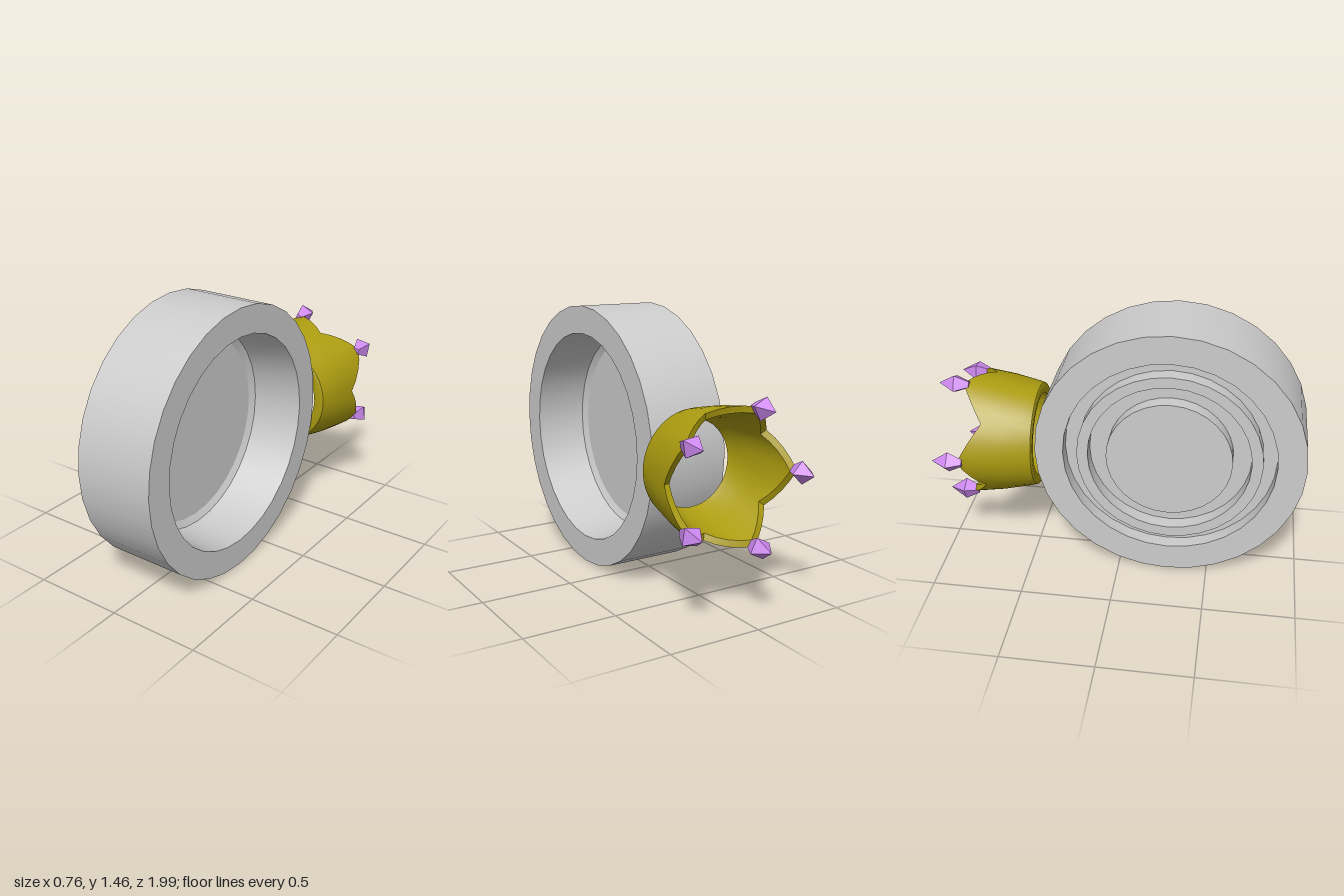
import * as THREE from 'three';
import { toCreasedNormals } from 'three/addons/utils/BufferGeometryUtils.js';

const grey = new THREE.MeshStandardMaterial({ color: 0xcccccc });
const gold = new THREE.MeshStandardMaterial({ color: 0xac9c10 });
const violet = new THREE.MeshStandardMaterial({ color: 0xcc88ee, flatShading: true });

function mesh(name, geometry, material) {
  const m = new THREE.Mesh(geometry, material);
  m.name = name;
  return m;
}

function lathe(points, segments) {
  return new THREE.LatheGeometry(points.map(([r, y]) => new THREE.Vector2(r, y)), segments);
}

// Round drum turned about x: grooved on the -x face, deep dish on the +x face
function makeDrum() {
  const geo = lathe([
    [0, -0.18], [0.34, -0.18], [0.34, -0.1], [0.44, -0.1], [0.44, -0.18],
    [0.5, -0.18], [0.5, -0.1], [0.575, -0.1], [0.575, -0.18], [0.73, -0.18],
    [0.73, 0.26], [0.58, 0.26], [0.553, -0.02], [0.515, -0.04], [0, -0.04],
  ], 32);
  const drum = mesh('drum', toCreasedNormals(geo, 0.4), grey);
  drum.rotation.z = -Math.PI / 2;
  drum.position.set(0, 0.735, 0.27);
  return drum;
}

// Flared band with a five-pointed rim, opening toward -z
function makeCrownBand() {
  const N = 40, pos = [], index = [];
  let M = 0;
  for (let i = 0; i < N; i++) {
    const a = (i / N) * Math.PI * 2;
    const t = (i % 8) / 4;
    const peak = t <= 1 ? t : 2 - t; // 0 in a valley, 1 at a point
    const h = 0.27 + 0.125 * peak;
    const top = 0.33 + 0.035 * peak;
    const section = [
      [0.23, 0.005], [0.27, 0], [0.287, 0.008], [0.296, 0.04],
      [0.296 + (top - 0.296) * 0.6, h * 0.55], [top, h],
      [top - 0.035, h - 0.01], [0.275, h * 0.5], [0.25, 0.05],
    ];
    M = section.length;
    for (const [r, y] of section) pos.push(r * Math.cos(a), r * Math.sin(a), -y);
  }
  for (let i = 0; i < N; i++) {
    for (let j = 0; j < M; j++) {
      const i2 = (i + 1) % N, j2 = (j + 1) % M;
      const a = i * M + j, b = i * M + j2, c = i2 * M + j2, d = i2 * M + j;
      index.push(a, b, d, b, c, d);
    }
  }
  const geo = new THREE.BufferGeometry();
  geo.setAttribute('position', new THREE.Float32BufferAttribute(pos, 3));
  geo.setIndex(index);
  return mesh('crownBand', toCreasedNormals(geo, 0.6), gold);
}

export function createModel() {
  const model = new THREE.Group();
  model.add(makeDrum());

  const crown = new THREE.Group();
  crown.name = 'crown';
  crown.position.set(0.035, 0.713, -0.46);
  crown.add(makeCrownBand());

  // Four-sided gem on each point
  const gemGeo = lathe([[0, -0.075], [0.022, -0.075], [0.06, 0], [0, 0.09]], 4);
  gemGeo.rotateX(-Math.PI / 2);
  for (let k = 0; k < 5; k++) {
    const a = ((36 + 72 * k) * Math.PI) / 180;
    const gem = mesh('gem', gemGeo, violet);
    gem.position.set(0.36 * Math.cos(a), 0.36 * Math.sin(a), -0.44);
    gem.rotation.z = a;
    crown.add(gem);
  }
  model.add(crown);
  return model;
}
